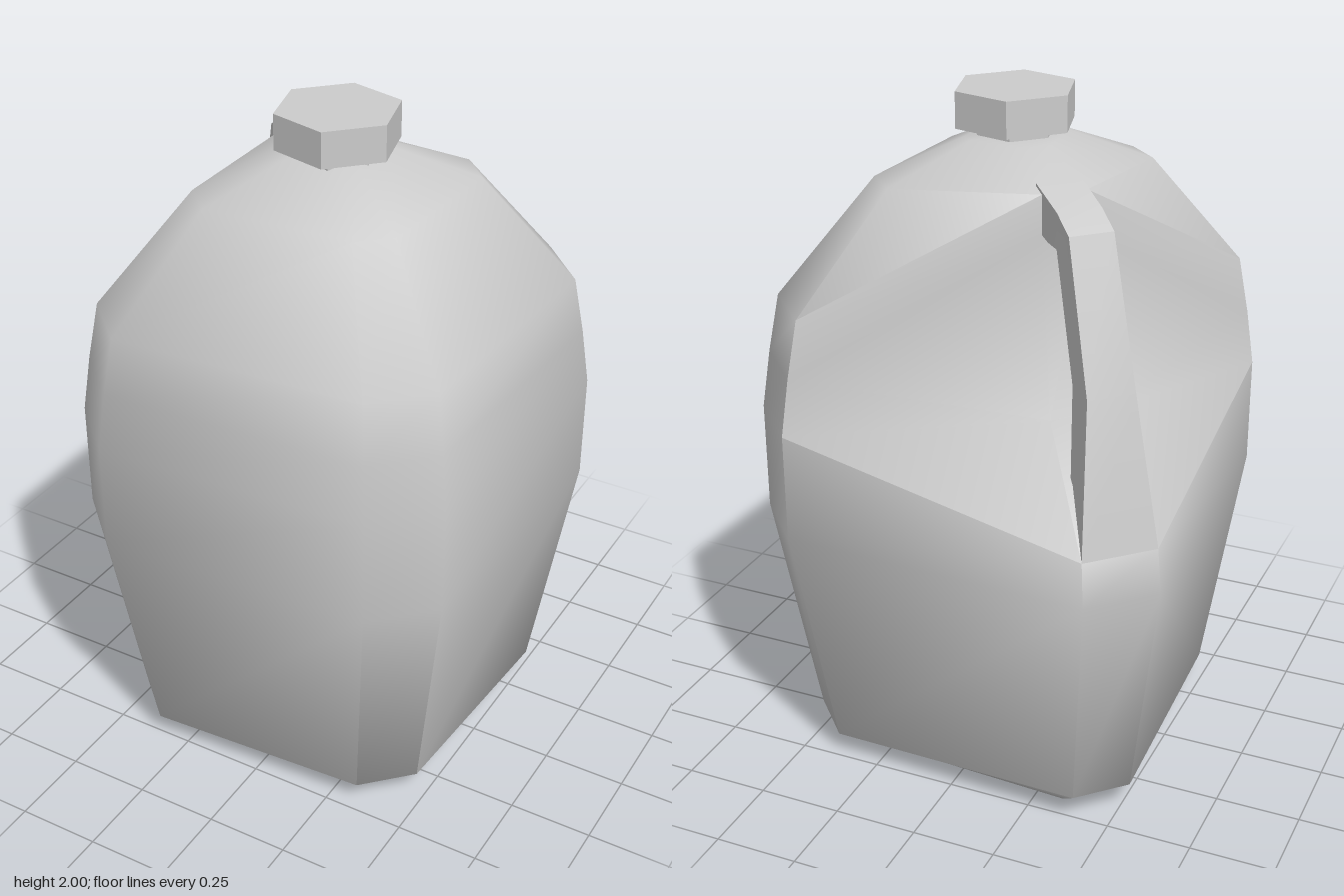
import * as THREE from 'three';
import { toCreasedNormals } from 'three/addons/utils/BufferGeometryUtils.js';

// Point on the handle corner: u = distance out along the back corner diagonal, h = sideways offset.
const corner = (u, y, h) => [(-u + h) * Math.SQRT1_2, y, (-u - h) * Math.SQRT1_2];

// Regular corners of the plan, going round from the front; the handle corner is inserted per ring.
const PLAN = [[-0.415, 0.615], [0.41, 0.57], [0.57, 0.41], [0.62, -0.42], [0.46, -0.59], [-0.585, 0.455]];

// Each ring: height, plan scale, then the handle corner's distance, height and half width.
const RINGS = [
  [0, 0.67, 0.54, 0, 0.07],
  [0.07, 0.83, 0.66, 0.09, 0.09],
  [0.78, 1, 0.764, 0.78, 0.115],
  [1.1, 1, 0.745, 0.91, 0.112],
  [1.27, 0.965, 0.42, 1.18, 0.07],
  [1.44, 0.92, 0.34, 1.68, 0.065],
  [1.77, 0.54, 0.34, 1.8, 0.065],
  [1.87, 0.2, 0.14, 1.87, 0.04],
];

// Handle stations: outer distance and height, inner distance and height, outer and inner half width.
const HANDLE = [
  [0.745, 0.91, 0.557, 1.0, 0.112, 0.066],
  [0.667, 1.34, 0.557, 1.34, 0.07, 0.064],
  [0.52, 1.74, 0.44, 1.68, 0.064, 0.064],
  [0.44, 1.78, 0.38, 1.68, 0.064, 0.064],
  [0.3, 1.82, 0.28, 1.7, 0.066, 0.066],
];

// Skin a list of closed loops and cap both ends; flipped columns use the other diagonal.
function loft(loops, crease, flipped = -1) {
  const n = loops[0].length;
  const pos = loops.flat(2);
  const idx = [];
  for (let r = 0; r < loops.length - 1; r++) {
    for (let i = 0; i < n; i++) {
      const a = r * n + i, b = r * n + (i + 1) % n, c = b + n, d = a + n;
      if (i === flipped) idx.push(a, b, d, b, c, d);
      else idx.push(a, b, c, a, c, d);
    }
  }
  const last = (loops.length - 1) * n;
  for (let i = 1; i < n - 1; i++) {
    idx.push(0, i + 1, i);
    idx.push(last, last + i, last + i + 1);
  }
  const geo = new THREE.BufferGeometry();
  geo.setAttribute('position', new THREE.Float32BufferAttribute(pos, 3));
  geo.setIndex(idx);
  return toCreasedNormals(geo, crease);
}

export function createModel() {
  const group = new THREE.Group();
  const smooth = new THREE.MeshStandardMaterial({ color: 0xcccccc });
  const flat = new THREE.MeshStandardMaterial({ color: 0xcccccc, flatShading: true });
  const add = (name, geometry, material) => {
    const mesh = new THREE.Mesh(geometry, material);
    mesh.name = name;
    group.add(mesh);
    return mesh;
  };

  // Bottle with the back corner hollowed out behind the handle
  const rings = RINGS.map(([y, s, u, hy, h]) => {
    const ring = PLAN.map(([x, z]) => [x * s, y, z * s]);
    ring.splice(5, 0, corner(u, hy, h), corner(u, hy, -h));
    return ring;
  });
  add('body', loft(rings, 1.0, 6), smooth);

  // Grip bridging the hollow
  const bars = HANDLE.map(([ou, oy, iu, iy, oh, ih]) => [
    corner(ou, oy, oh), corner(ou, oy, -oh), corner(iu, iy, -ih), corner(iu, iy, ih),
  ]);
  add('handle', loft(bars, 0.7), smooth);

  // Neck and six-sided cap
  for (const [name, radius, y0, y1] of [['neck', 0.115, 1.85, 1.9], ['cap', 0.18, 1.895, 2]]) {
    const part = add(name, new THREE.CylinderGeometry(radius, radius, y1 - y0, 6), flat);
    part.position.set(0.015, (y0 + y1) / 2, 0.02);
    part.rotation.y = 0.27;
  }
  return group;
}
